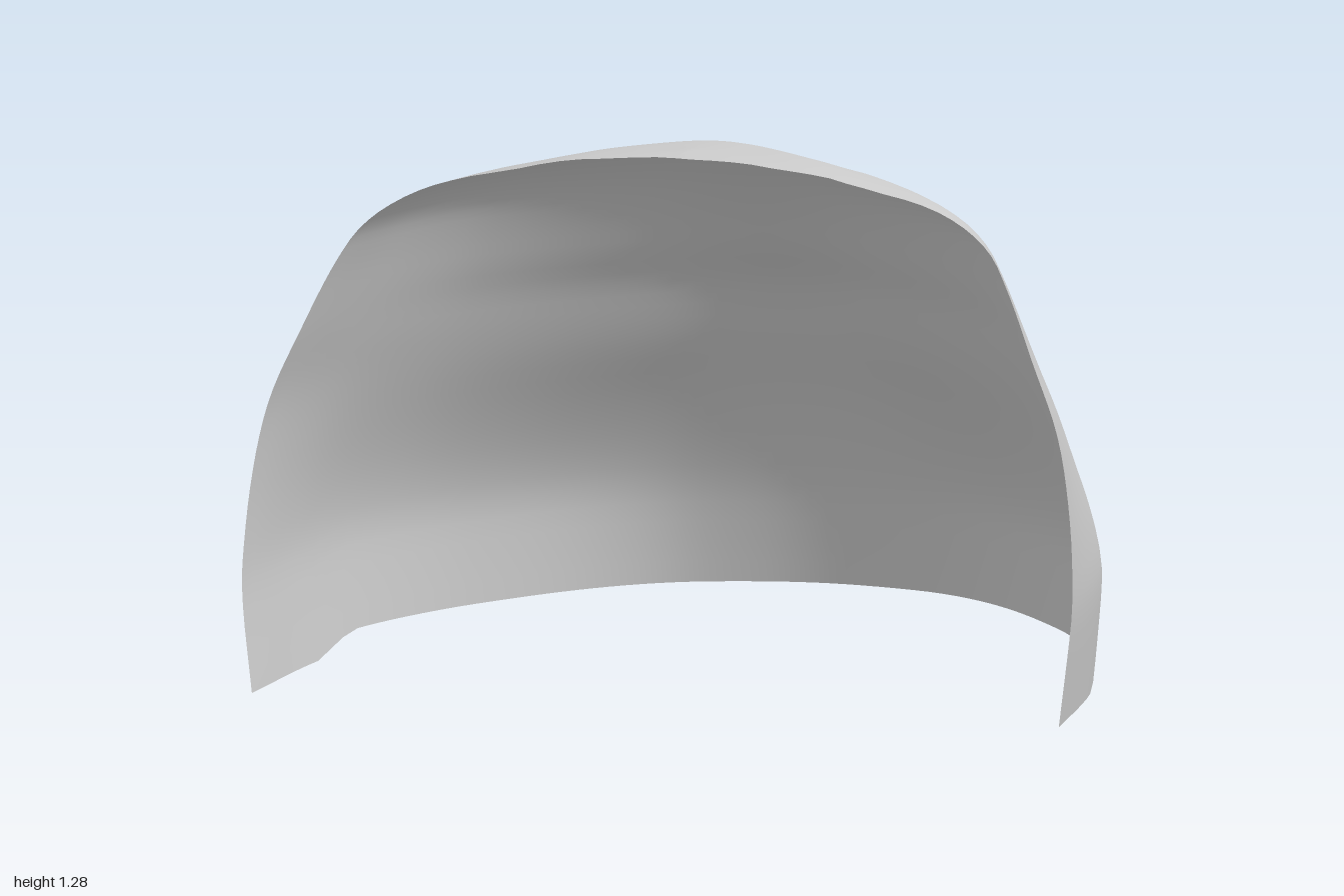
import * as THREE from 'three';

const TOP = 1.278;             // crown height
const ROWS = 48, COLS = 72;

// Smooth curve through [t, value] pairs with rising t
function curve(pts) {
  const slope = i => {
    const a = pts[Math.max(i - 1, 0)], b = pts[Math.min(i + 1, pts.length - 1)];
    return (b[1] - a[1]) / (b[0] - a[0]);
  };
  return t => {
    if (t <= pts[0][0]) return pts[0][1];
    if (t >= pts[pts.length - 1][0]) return pts[pts.length - 1][1];
    let i = 0;
    while (t > pts[i + 1][0]) i++;
    const d = pts[i + 1][0] - pts[i][0], u = (t - pts[i][0]) / d;
    const u2 = u * u, u3 = u2 * u;
    return (2 * u3 - 3 * u2 + 1) * pts[i][1] + (u3 - 2 * u2 + u) * d * slope(i)
      + (3 * u2 - 2 * u3) * pts[i + 1][1] + (u3 - u2) * d * slope(i + 1);
  };
}

// Curve over height, listed from the crown down and spaced by the root of the drop
// so that the crown comes out round
function downFromTop(pts) {
  const drop = y => Math.sqrt(Math.max(0, TOP - y));
  const f = curve(pts.map(([y, v]) => [drop(y), v]));
  return y => f(drop(y));
}

// Half width of the front opening
const halfWidth = downFromTop([[TOP, 0], [1.272, 0.15], [1.25, 0.33], [1.218, 0.47], [1.18, 0.6],
  [1.13, 0.7], [1.08, 0.76], [1.02, 0.8], [0.85, 0.88], [0.68, 0.95], [0.5, 0.985], [0.3, 1],
  [0.2, 0.995], [0, 0.972]]);
// Back profile on the centre line
const backZ = downFromTop([[TOP, 0.5], [1.268, 0.36], [1.255, 0.2], [1.23, 0.1], [1.185, 0],
  [1.12, -0.1], [1.03, -0.2], [0.92, -0.3], [0.82, -0.4], [0.665, -0.5], [0.51, -0.6],
  [0.3, -0.7], [0.15, -0.745], [0.045, -0.772]]);
// Edge of the front opening
const rimZ = curve([[0, 0.772], [0.2, 0.765], [0.4, 0.737], [0.6, 0.712], [0.8, 0.68],
  [1, 0.62], [1.1, 0.575], [1.17, 0.55], [1.23, 0.57], [TOP, 0.585]]);
// Plan outlines from the back (0) to the front edge (1): full below, tapered above
const lowerOutline = curve([[0, 0], [0.1, 0.14], [0.2, 0.3], [0.316, 0.445], [0.507, 0.66],
  [0.608, 0.775], [0.728, 0.89], [0.83, 0.955], [1, 1]]);
const upperOutline = curve([[0, 0], [0.2, 0.185], [0.32, 0.3], [0.4, 0.385], [0.47, 0.47],
  [0.6, 0.64], [0.68, 0.74], [0.79, 0.85], [0.87, 0.92], [1, 1]]);

// Lower edge: steps down towards the front feet
const floorY = z => 0.045 * (1 - THREE.MathUtils.clamp((z - 0.12) / 0.17, 0, 1));

// Front edge with a slightly ragged brow and one notch on the right
function frontEdge(x, y) {
  if (y < 1.2) return rimZ(y);
  return rimZ(y) + 0.006 * Math.sin(x * 31) + 0.004 * Math.sin(x * 67)
    + 0.035 * Math.exp(-(((x + 0.4) / 0.07) ** 2));
}

// Point at height y; u runs from 1 (left front edge) over 0 (back) to -1 (right front edge)
function shellPoint(u, y) {
  const side = Math.sign(u), k = Math.abs(u), w = halfWidth(y), back = backZ(y);
  const taper = THREE.MathUtils.smoothstep(y, 0.25, 0.8);
  const reach = THREE.MathUtils.lerp(lowerOutline(k), upperOutline(k), taper);
  return [side * w * reach, y, back + (frontEdge(side * w, y) - back) * u * u];
}

function shellGeometry() {
  const position = [], index = [], stride = COLS + 1;
  for (let i = 0; i <= ROWS; i++) {
    const s = 1 - (1 - i / ROWS) ** 2;
    for (let j = 0; j <= COLS; j++) {
      const u = 1 - 2 * j / COLS;
      const base = floorY(shellPoint(u, 0.03)[2]);
      position.push(...shellPoint(u, base + (TOP - base) * s));
      if (i < ROWS && j < COLS) {
        const a = i * stride + j, b = a + stride;
        index.push(a, a + 1, b, a + 1, b + 1, b);
      }
    }
  }
  const geometry = new THREE.BufferGeometry();
  geometry.setAttribute('position', new THREE.Float32BufferAttribute(position, 3));
  geometry.setIndex(index);
  geometry.computeVertexNormals();
  return geometry;
}

export function createModel() {
  const group = new THREE.Group();
  // Thin open hood: no front, no underside
  const shell = new THREE.Mesh(shellGeometry(),
    new THREE.MeshStandardMaterial({ color: 0xcccccc, side: THREE.DoubleSide }));
  shell.name = 'hoodShell';
  group.add(shell);
  return group;
}
